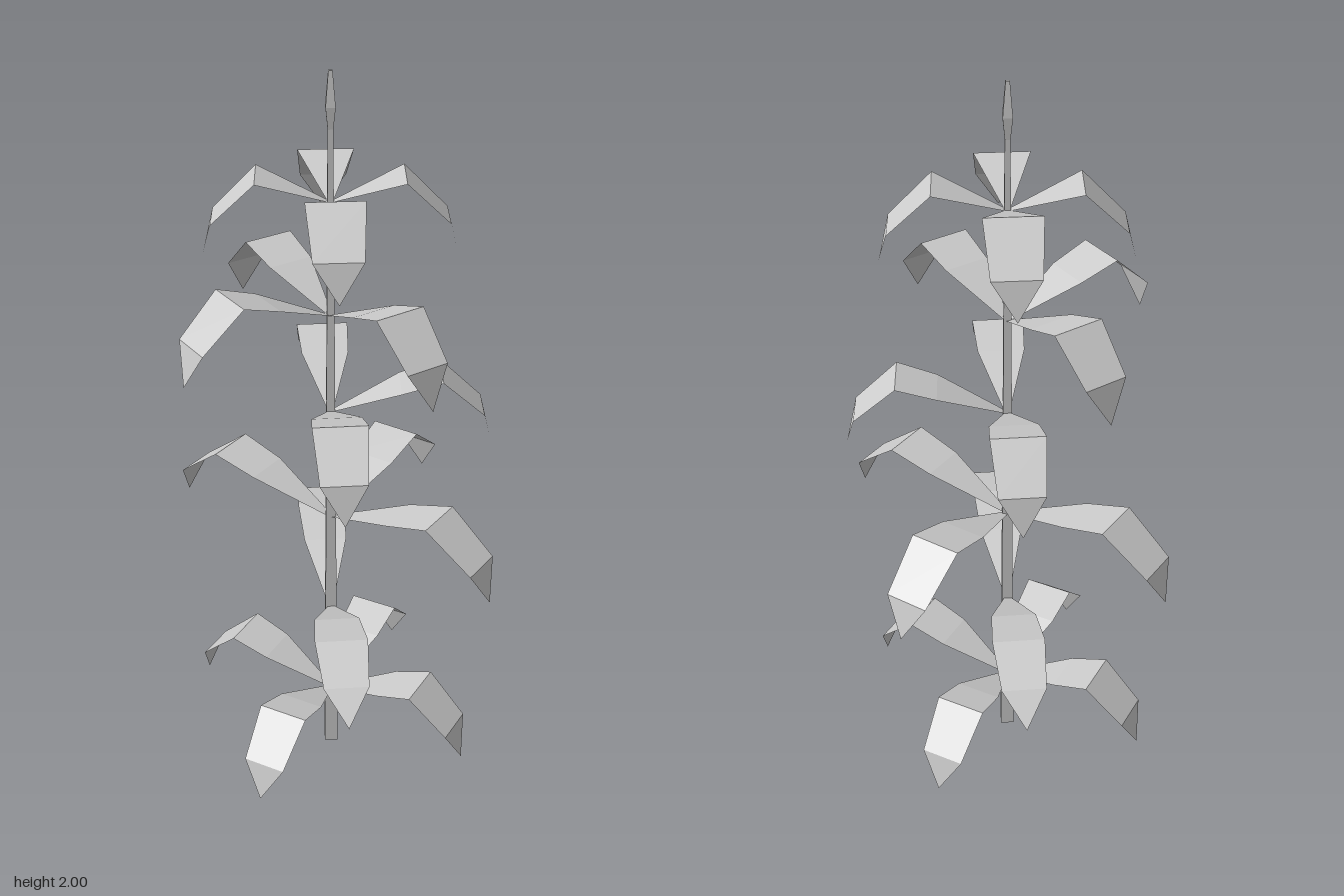
import * as THREE from 'three';

const STEM_X = -0.008;

// Leaf outlines: [distance from stem, height above the node, width]
const longLeaf = [[0, 0, 0.012], [0.19, 0.095, 0.12], [0.33, 0.13, 0.138], [0.476, 0.095, 0.115], [0.55, 0.025, 0]];
const middleLeaf = [[0, 0, 0.012], [0.18, 0.08, 0.125], [0.285, 0.115, 0.138], [0.395, 0.015, 0.117], [0.42, -0.085, 0]];
const wideLeaf = middleLeaf.map(([r, y, w]) => [r * 1.18, y, w]);
const topLeaf = [[0, 0, 0.012], [0.18, 0.07, 0.142], [0.288, -0.035, 0.12], [0.312, -0.13, 0]];

// Whorls up the stem; angles in degrees from +x towards +z
const whorls = [
  { y: 0.19, leaf: middleLeaf, angles: [32, 120, 211, 300] },
  { y: 0.48, leaf: longLeaf, angles: [88, 268] },
  { y: 0.78, leaf: wideLeaf, angles: [37, 217, 306] },
  { y: 1.105, leaf: middleLeaf, angles: [2, 88, 268] },
  { y: 1.38, leaf: middleLeaf, angles: [58, 150, 238] },
  { y: 1.68, leaf: topLeaf, angles: [2, 89, 182, 269] },
];

// Folded strip running along +x, faceted at every fold, ending in a point
function leafGeometry(stations) {
  const positions = [];
  for (let i = 0; i < stations.length - 1; i++) {
    const [r0, y0, w0] = stations[i];
    const [r1, y1, w1] = stations[i + 1];
    const a = [r0, y0, -w0 / 2], b = [r0, y0, w0 / 2];
    const c = [r1, y1, w1 / 2], d = [r1, y1, -w1 / 2];
    positions.push(...a, ...b, ...c);
    if (w1 > 0) positions.push(...a, ...c, ...d);
  }
  const geometry = new THREE.BufferGeometry();
  geometry.setAttribute('position', new THREE.Float32BufferAttribute(positions, 3));
  geometry.computeVertexNormals();
  return geometry;
}

// Square tapering column from [width, height] pairs, closed at both ends
function squareColumn(profile) {
  const points = profile.map(([w, y]) => new THREE.Vector2(w * Math.SQRT1_2, y));
  points.unshift(new THREE.Vector2(0, profile[0][1]));
  points.push(new THREE.Vector2(0, profile[profile.length - 1][1]));
  return new THREE.LatheGeometry(points, 4, Math.PI / 4);
}

export function createModel() {
  const plant = new THREE.Group();
  plant.name = 'plant';
  const solid = new THREE.MeshStandardMaterial({ color: 0xcccccc, flatShading: true });
  const sheet = new THREE.MeshStandardMaterial({ color: 0xcccccc, flatShading: true, side: THREE.DoubleSide });

  // Stem and the bud on its tip
  const stem = new THREE.Mesh(squareColumn([[0.037, 0], [0.013, 1.88]]), solid);
  stem.name = 'stem';
  const bud = new THREE.Mesh(squareColumn([[0.013, 1.86], [0.024, 1.915], [0.01, 2]]), solid);
  bud.name = 'bud';
  stem.position.x = bud.position.x = STEM_X;
  plant.add(stem, bud);

  // Leaves
  whorls.forEach(({ y, leaf, angles }, index) => {
    const whorl = new THREE.Group();
    whorl.name = `leafWhorl${index + 1}`;
    whorl.position.set(STEM_X, y, 0);
    const geometry = leafGeometry(leaf);
    for (const angle of angles) {
      const mesh = new THREE.Mesh(geometry, sheet);
      mesh.name = 'leaf';
      mesh.rotation.y = -THREE.MathUtils.degToRad(angle);
      whorl.add(mesh);
    }
    plant.add(whorl);
  });
  return plant;
}
